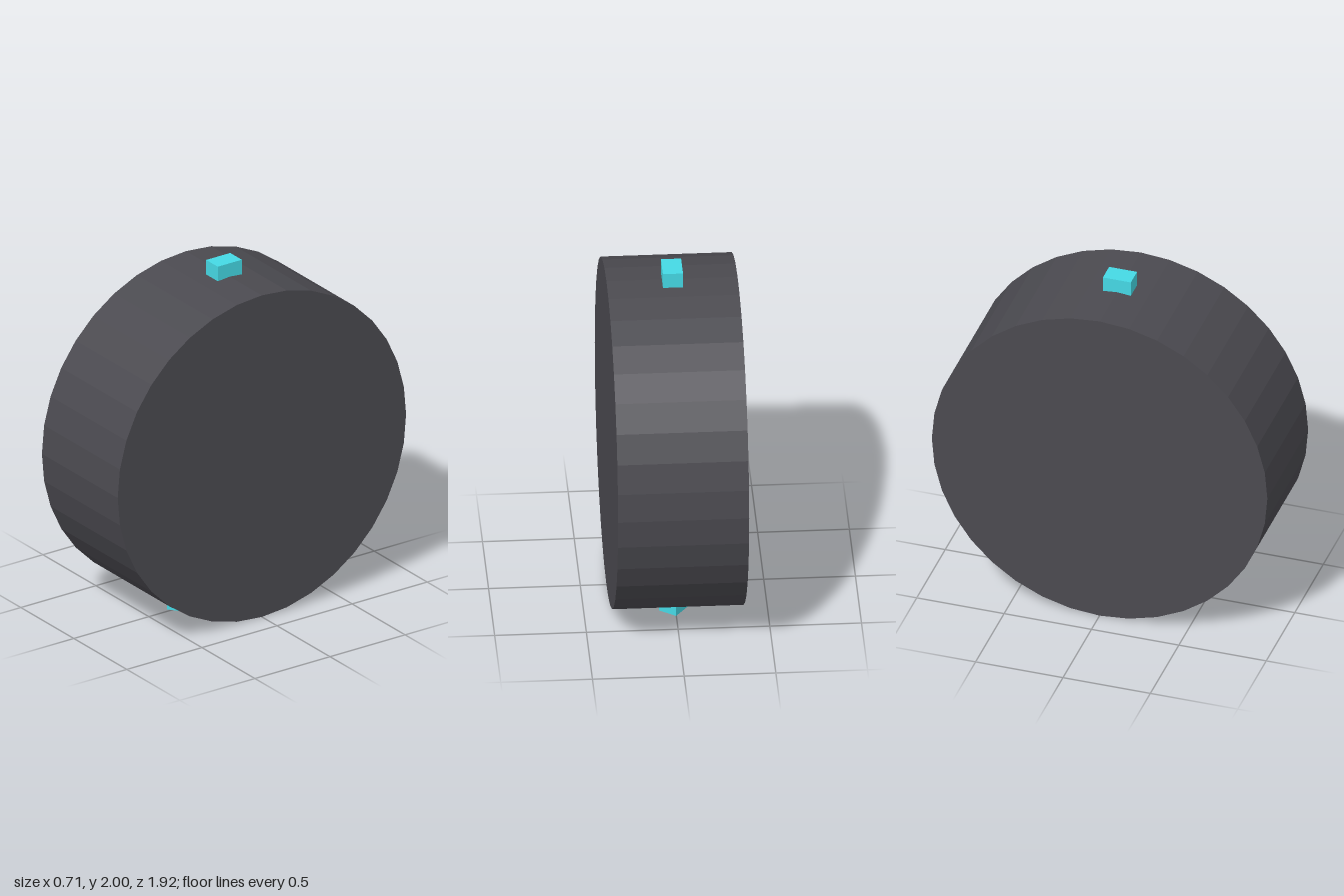
import * as THREE from 'three';

export function createModel() {
  const model = new THREE.Group();
  const dark = new THREE.MeshStandardMaterial({ color: 0x4b4a50, flatShading: true });
  const cyan = new THREE.MeshStandardMaterial({ color: 0x45d9e5, flatShading: true });
  const radius = 0.96;

  // Drum lying on its side, axis along x
  const drum = new THREE.Mesh(new THREE.CylinderGeometry(radius, radius, 0.715, 36), dark);
  drum.name = 'drum';
  drum.rotation.z = Math.PI / 2;
  drum.position.y = radius;
  model.add(drum);

  // Small blocks sunk into the rim
  const blockGeometry = new THREE.BoxGeometry(0.11, 0.1, 0.16);
  function addBlock(name, y, z, turn) {
    const block = new THREE.Mesh(blockGeometry, cyan);
    block.name = name;
    block.position.set(0, y, z);
    block.rotation.y = THREE.MathUtils.degToRad(turn);
    model.add(block);
  }
  addBlock('topBlock', 1.95, 0, 0);

  // Splayed feet, mirrored front to back
  for (const side of [1, -1]) {
    addBlock(side > 0 ? 'frontFoot' : 'backFoot', 0.063, side * 0.283, side * 36);
  }
  return model;
}
